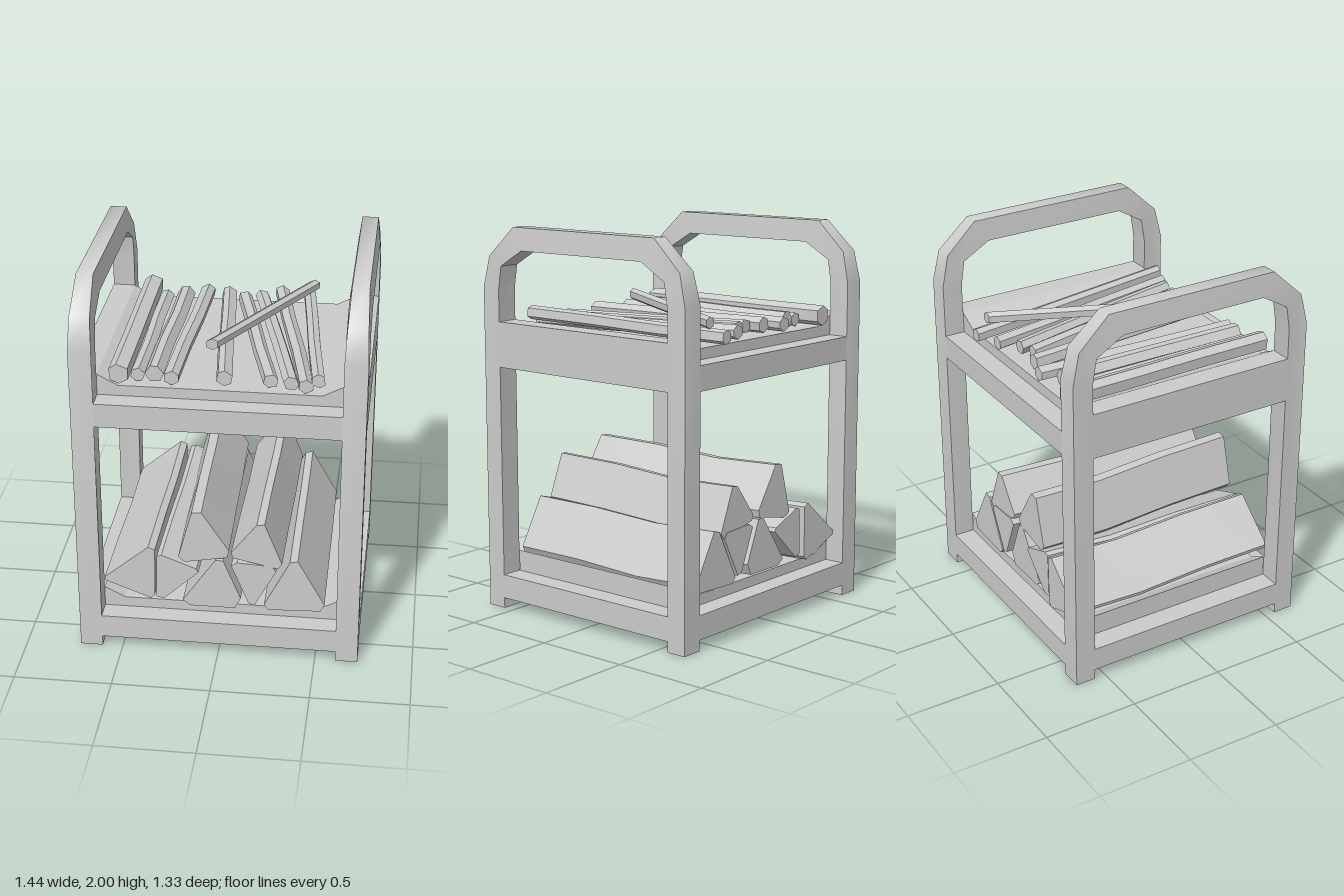
import * as THREE from 'three';
import { toCreasedNormals } from 'three/addons/utils/BufferGeometryUtils.js';

const material = new THREE.MeshStandardMaterial({ color: 0xcccccc });

function add(parent, name, geometry) {
  const mesh = new THREE.Mesh(geometry, material);
  mesh.name = name;
  parent.add(mesh);
  return mesh;
}

function seeded(seed) {
  return () => (seed = (seed * 16807) % 2147483647) / 2147483647;
}

const toPoints = list => list.map(([x, y]) => new THREE.Vector2(x, y));

// Straight bar from a 2D section, centred along its length
function bar(points, length) {
  const shape = new THREE.Shape(toPoints(points));
  return new THREE.ExtrudeGeometry(shape, { depth: length, bevelEnabled: false }).translate(0, 0, -length / 2);
}

// Split piece of wood: a section swept along a path that runs toward +z
function woodPiece(section, path) {
  const pts = toPoints(section);
  if (THREE.ShapeUtils.isClockWise(pts)) pts.reverse();
  const n = pts.length;
  const rings = path.map(c => pts.map(p => new THREE.Vector3(p.x + c.x, p.y + c.y, c.z)));
  const verts = [];
  const tri = (...corners) => corners.forEach(v => verts.push(v.x, v.y, v.z));
  const last = rings.length - 1;
  for (let j = 0; j < n; j++) {
    const k = (j + 1) % n;
    for (let i = 0; i < last; i++) {
      const a = rings[i], b = rings[i + 1];
      tri(a[j], a[k], b[k]);
      tri(a[j], b[k], b[j]);
    }
    if (j > 0 && j < n - 1) {
      tri(rings[0][0], rings[0][k], rings[0][j]);
      tri(rings[last][0], rings[last][j], rings[last][k]);
    }
  }
  const geometry = new THREE.BufferGeometry();
  geometry.setAttribute('position', new THREE.Float32BufferAttribute(verts, 3));
  return toCreasedNormals(geometry, 0.6);
}

// Side frame: two legs joined by a faceted arch whose outer edge is narrowed
function sideFrameGeometry() {
  const outer = [[0.667, 0], [0.667, 1.685], [0.63, 1.846], [0.465, 2]];
  const inner = [[0.56, 0], [0.56, 1.675], [0.54, 1.8], [0.395, 1.885]];
  const flip = list => list.map(([z, y]) => [-z, y]).reverse();
  const outline = [...outer, ...flip(outer), ...flip(inner).reverse(), ...[...inner].reverse()];
  const geometry = bar(outline, 0.115).rotateY(-Math.PI / 2);
  const pos = geometry.attributes.position;
  for (let i = 0; i < pos.count; i++) {
    const y = pos.getY(i);
    const shoulder = y > 1.83 && Math.abs(pos.getZ(i)) > 0.6;
    pos.setX(i, pos.getX(i) * (y > 1.95 ? 0.73 : shoulder ? 0.87 : 1));
  }
  return toCreasedNormals(geometry, 0.85);
}

// Shelf: flat-topped rails around a thin tray with upturned sides, on an inner ledge
function addShelf(parent, name, base, sideHeight) {
  const shelf = new THREE.Group();
  shelf.name = name;
  shelf.position.y = base;
  const crossRail = new THREE.BoxGeometry(1.21, 0.125, 0.108).translate(0, 0.0625, 0.613);
  const sideRail = new THREE.BoxGeometry(0.115, sideHeight, 1.12).translate(0.6625, sideHeight / 2, 0);
  for (const [end, angle] of [['front', 0], ['back', Math.PI]]) {
    add(shelf, end + 'Rail', crossRail).rotation.y = angle;
  }
  for (const [side, angle] of [['left', 0], ['right', Math.PI]]) {
    add(shelf, side + 'Rail', sideRail).rotation.y = angle;
  }
  // Tray floor
  const traySection = [[-0.605, 0.155], [0.605, 0.155], [0.605, 0.235], [0.5, 0.18], [-0.5, 0.18], [-0.605, 0.235]];
  add(shelf, 'tray', bar(traySection, 1.118));
  // Ledge under the tray
  const rectangle = (w, d) => toPoints([[-w, -d], [w, -d], [w, d], [-w, d]]);
  const ring = new THREE.Shape(rectangle(0.605, 0.559));
  ring.holes.push(new THREE.Path(rectangle(0.555, 0.509)));
  const ledge = new THREE.ExtrudeGeometry(ring, { depth: 0.1, bevelEnabled: false });
  add(shelf, 'ledge', ledge.rotateX(-Math.PI / 2).translate(0, 0.06, 0));
  parent.add(shelf);
}

// Split logs: front outline, and how far the back end drifts in x and y
const LOGS = [
  { drift: [0, -0.01], section: [[-0.6, 0.36], [-0.595, 0.34], [-0.36, 0.25], [-0.34, 0.27], [-0.335, 0.54], [-0.37, 0.555]] },
  { drift: [0.015, 0.012], section: [[-0.325, 0.51], [-0.3, 0.52], [-0.12, 0.45], [-0.11, 0.43], [-0.29, 0.26], [-0.33, 0.27]] },
  { drift: [0, 0.01], section: [[-0.02, 0.52], [0.02, 0.52], [0.11, 0.3], [0.08, 0.24], [-0.15, 0.24], [-0.19, 0.27]] },
  { drift: [0.015, 0.012], section: [[0.06, 0.49], [0.09, 0.51], [0.27, 0.5], [0.29, 0.47], [0.18, 0.26], [0.15, 0.27]] },
  { drift: [-0.015, 0], section: [[0.36, 0.53], [0.4, 0.54], [0.54, 0.29], [0.52, 0.25], [0.25, 0.24], [0.23, 0.27]] },
  { drift: [-0.03, -0.005], section: [[-0.14, 0.79], [-0.09, 0.795], [0.05, 0.58], [0.04, 0.54], [-0.18, 0.5], [-0.21, 0.53]] },
  { drift: [0.008, -0.005], section: [[0.19, 0.74], [0.23, 0.745], [0.32, 0.52], [0.3, 0.49], [0.07, 0.54], [0.06, 0.57]] },
];

// Kindling: back x, y, z, front x, y, z, radius
const STICKS = [
  [-0.5, 1.52, -0.585, -0.495, 1.525, 0.565, 0.052],
  [-0.41, 1.5, -0.475, -0.41, 1.5, 0.51, 0.036],
  [-0.31, 1.51, -0.495, -0.325, 1.515, 0.525, 0.045],
  [-0.2, 1.505, -0.56, -0.24, 1.505, 0.54, 0.038],
  [-0.08, 1.51, -0.52, 0.02, 1.515, 0.535, 0.041],
  [0.01, 1.51, -0.475, 0.245, 1.505, 0.52, 0.037],
  [0.1, 1.51, -0.5, 0.345, 1.505, 0.535, 0.037],
  [0.2, 1.51, -0.575, 0.42, 1.505, 0.56, 0.037],
  [0.345, 1.505, -0.62, 0.48, 1.54, 0.565, 0.036],
  [0.375, 1.572, -0.54, -0.065, 1.603, 0.34, 0.031],
];

export function createModel() {
  const model = new THREE.Group();
  model.name = 'firewoodRack';
  const rand = seeded(41);
  const wobble = size => (rand() - 0.5) * 2 * size;

  // Side frames
  const frame = sideFrameGeometry();
  add(model, 'leftFrame', frame).position.x = 0.6625;
  add(model, 'rightFrame', frame).position.x = -0.6625;

  // Shelves
  addShelf(model, 'lowerShelf', 0.055, 0.125);
  addShelf(model, 'upperShelf', 1.28, 0.235);

  // Large logs on the lower shelf, each with a slight dip along its length
  const logs = new THREE.Group();
  logs.name = 'logs';
  LOGS.forEach(({ drift: [dx, dy], section }, i) => {
    const shift = wobble(0.015);
    const path = [[0, 0], [0.33, -0.018], [0.67, 0], [1, 0]].map(([t, dip]) =>
      new THREE.Vector3(dx * (1 - t), dy * (1 - t) + dip, -0.59 + 1.18 * t + shift));
    add(logs, 'log' + (i + 1), woodPiece(section, path));
  });
  model.add(logs);

  // Thin kindling on the upper shelf
  const kindling = new THREE.Group();
  kindling.name = 'kindling';
  STICKS.forEach(([x0, y0, z0, x1, y1, z1, r], i) => {
    const turn = rand() * 2;
    const section = [0, 1, 2, 3, 4, 5].map(k => {
      const a = turn + (k + wobble(0.15)) * Math.PI / 3;
      return [Math.cos(a) * r * 1.05, Math.sin(a) * r];
    });
    const start = new THREE.Vector3(x0, y0, z0), end = new THREE.Vector3(x1, y1, z1);
    const path = [0, 0.33, 0.67, 1].map(t => {
      const bend = t === 0 || t === 1 || i === 9 ? 0 : 0.005;
      return start.clone().lerp(end, t).add(new THREE.Vector3(wobble(bend), wobble(bend * 0.5), 0));
    });
    add(kindling, 'stick' + (i + 1), woodPiece(section, path));
  });
  model.add(kindling);

  return model;
}
